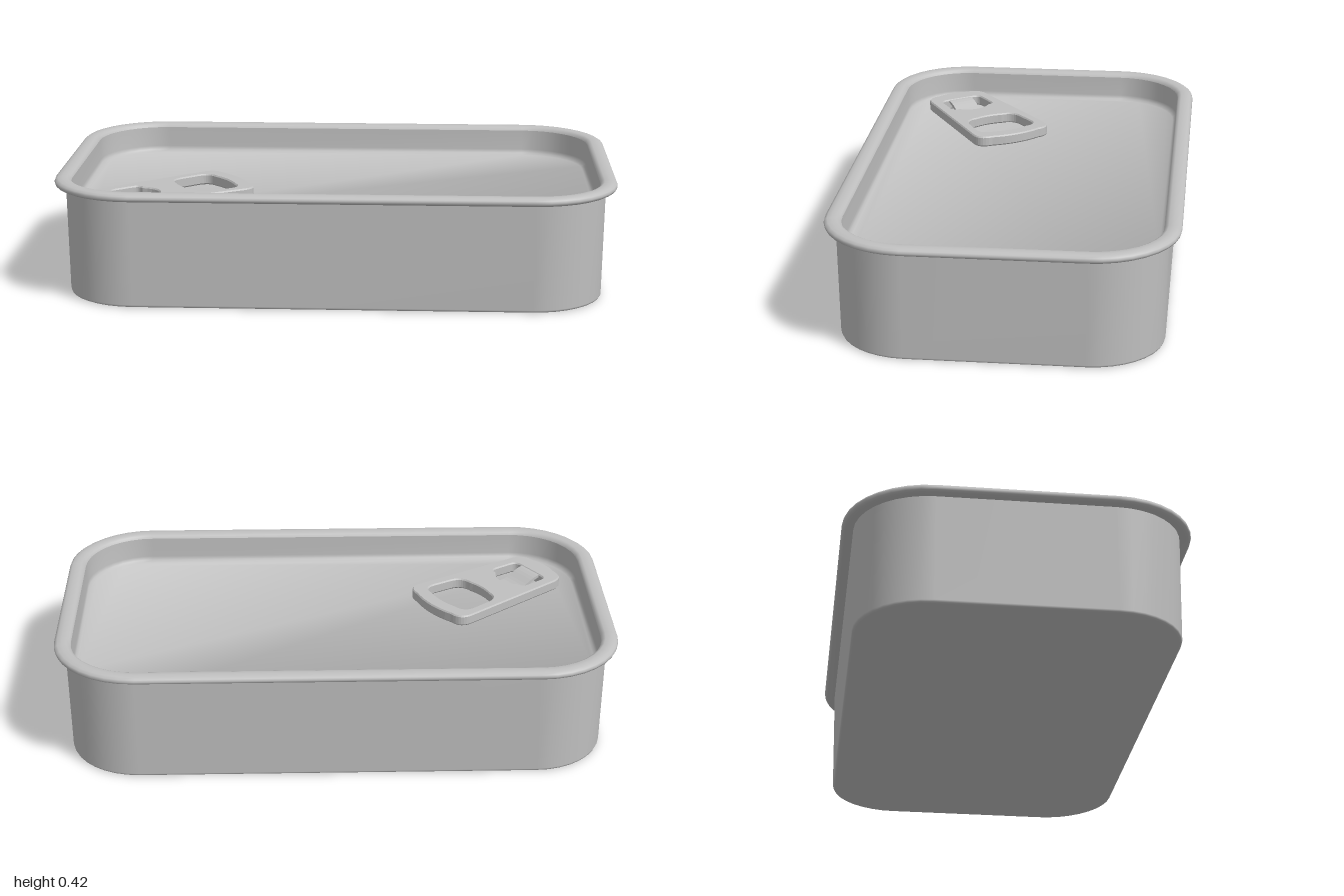
import * as THREE from 'three';

const HALF_X = 1.0, HALF_Z = 0.605, RADIUS = 0.3, SEG = 9;

// Rounded rectangle seen from above, pulled in by inset: [x, z, outward x, outward z]
function outline(inset) {
  const r = RADIUS - inset, cx = HALF_X - RADIUS, cz = HALF_Z - RADIUS, pts = [];
  [[1, 1], [-1, 1], [-1, -1], [1, -1]].forEach(([sx, sz], k) => {
    for (let i = 0; i <= SEG; i++) {
      const a = (k + i / SEG) * Math.PI / 2, c = Math.cos(a), s = Math.sin(a);
      pts.push([sx * cx + r * c, sz * cz + r * s, c, s]);
    }
  });
  return pts;
}

// Skin through outlines given as [inset, y] pairs
function loft(profile) {
  const pos = [], idx = [], n = 4 * (SEG + 1);
  profile.forEach(([inset, y]) => outline(inset).forEach(([x, z]) => pos.push(x, y, z)));
  for (let i = 0; i < profile.length - 1; i++) {
    for (let j = 0; j < n; j++) {
      const a = i * n + j, b = i * n + (j + 1) % n, c = a + n, d = b + n;
      idx.push(a, c, b, b, c, d);
    }
  }
  const g = new THREE.BufferGeometry();
  g.setAttribute('position', new THREE.Float32BufferAttribute(pos, 3));
  g.setIndex(idx);
  g.computeVertexNormals();
  return g;
}

// Flat sheet closing an outline; its edge normals lean softly toward the walls
function cap(inset, y, up, lean) {
  const pts = outline(inset), pos = [], nor = [], idx = [];
  for (const [x, z, nx, nz] of pts) {
    pos.push(x, y, z);
    const v = new THREE.Vector3(nx * lean, up, nz * lean).normalize();
    nor.push(v.x, v.y, v.z);
  }
  const tris = THREE.ShapeUtils.triangulateShape(pts.map(([x, z]) => new THREE.Vector2(x, z)), []);
  for (const [a, b, c] of tris) idx.push(...(up > 0 ? [a, c, b] : [a, b, c]));
  const g = new THREE.BufferGeometry();
  g.setAttribute('position', new THREE.Float32BufferAttribute(pos, 3));
  g.setAttribute('normal', new THREE.Float32BufferAttribute(nor, 3));
  g.setIndex(idx);
  return g;
}

// Rounded four-sided path: half width w0 at x0, w1 at x1, ends bowed out by bow0 and bow1
function roundedQuad(path, x0, w0, x1, w1, r, bow0, bow1) {
  const side = (x) => w0 + (w1 - w0) * (x - x0) / (x1 - x0);
  const a = x0 + r, b = x1 - r;
  path.moveTo(a, -side(a));
  path.lineTo(b, -side(b));
  path.quadraticCurveTo(x1, -w1, x1, -w1 + r);
  path.quadraticCurveTo(x1 + bow1, 0, x1, w1 - r);
  path.quadraticCurveTo(x1, w1, b, side(b));
  path.lineTo(a, side(a));
  path.quadraticCurveTo(x0, w0, x0, w0 - r);
  path.quadraticCurveTo(x0 - bow0, 0, x0, -w0 + r);
  path.quadraticCurveTo(x0, -w0, a, -side(a));
  return path;
}

export function createModel() {
  const metal = new THREE.MeshStandardMaterial({ color: 0xc0c0c0 });
  metal.name = 'tin metal';
  const model = new THREE.Group();
  model.name = 'foodTin';
  const add = (name, geometry, parent = model) => {
    const mesh = new THREE.Mesh(geometry, metal);
    mesh.name = name;
    parent.add(mesh);
    return mesh;
  };

  // Can body and underside
  add('body', loft([[0.056, 0], [0.049, 0.003], [0.046, 0.01], [0.04, 0.396]]));
  add('base', cap(0.056, 0, -1, 0.35));

  // Rolled rim
  add('rim', loft([
    [0.04, 0.391], [0.012, 0.391], [0.003, 0.396], [0, 0.404], [0.003, 0.412],
    [0.012, 0.418], [0.028, 0.42], [0.045, 0.419], [0.055, 0.414], [0.06, 0.405],
  ]));

  // Sunken lid
  add('lidWall', loft([[0.06, 0.405], [0.062, 0.33], [0.066, 0.316], [0.076, 0.31]]));
  add('lid', cap(0.076, 0.31, 1, -0.6));

  // Pull tab, laid diagonally in one corner
  const tab = new THREE.Group();
  tab.name = 'pullTab';
  tab.position.set(-0.596, 0.31, 0.225);
  tab.rotation.y = THREE.MathUtils.degToRad(34.5);
  model.add(tab);

  const plate = roundedQuad(new THREE.Shape(), -0.272, 0.122, 0.272, 0.162, 0.06, 0.02, 0.03);
  plate.holes.push(roundedQuad(new THREE.Path(), 0.05, 0.106, 0.222, 0.122, 0.05, 0.015, 0.02));
  plate.holes.push(roundedQuad(new THREE.Path(), -0.205, 0.085, -0.085, 0.09, 0.025, 0, 0.06));
  const plateGeometry = new THREE.ExtrudeGeometry(plate, {
    depth: 0.03, bevelThickness: 0.005, bevelSize: 0.004, bevelOffset: -0.004,
    bevelSegments: 1, curveSegments: 8,
  });
  plateGeometry.rotateX(-Math.PI / 2);
  add('tabPlate', plateGeometry, tab).position.y = 0.007;

  // Tongue bending from the tab down to the lid
  const tongue = new THREE.Shape();
  tongue.moveTo(-0.215, 0.04);
  tongue.bezierCurveTo(-0.16, 0.04, -0.15, 0.008, -0.095, 0.008);
  tongue.lineTo(-0.095, 0);
  tongue.bezierCurveTo(-0.16, 0, -0.17, 0.03, -0.215, 0.03);
  tongue.closePath();
  const tongueGeometry = new THREE.ExtrudeGeometry(tongue, { depth: 0.1, bevelEnabled: false, curveSegments: 8 });
  add('tabTongue', tongueGeometry, tab).position.z = -0.05;

  return model;
}
